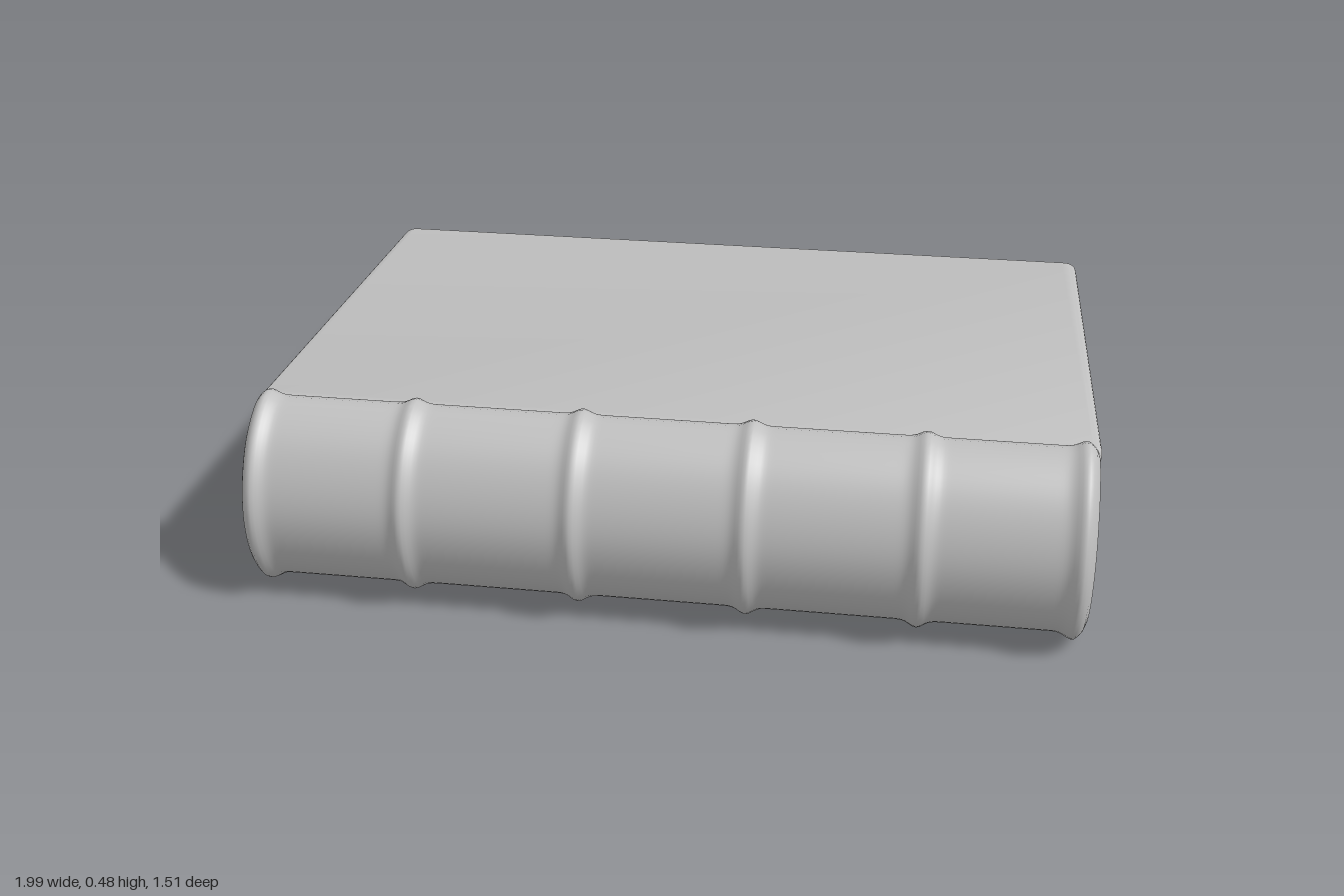
import * as THREE from 'three';
import { toCreasedNormals } from 'three/addons/utils/BufferGeometryUtils.js';

const grey = new THREE.MeshStandardMaterial({ color: 0xc0c0c0 });
grey.name = 'plain grey';

function add(parent, name, geometry) {
  const mesh = new THREE.Mesh(geometry, grey);
  mesh.name = name;
  parent.add(mesh);
  return mesh;
}

// Board with rounded corners and softly rolled edges; its base lies on y = 0
function boardGeometry(halfWidth, zFront, zBack, thickness) {
  const r = 0.04, w = halfWidth, a = -zFront, b = -zBack;
  const s = new THREE.Shape();
  s.moveTo(-w + r, a);
  s.lineTo(w - r, a);
  s.quadraticCurveTo(w, a, w, a + r);
  s.lineTo(w, b - r);
  s.quadraticCurveTo(w, b, w - r, b);
  s.lineTo(-w + r, b);
  s.quadraticCurveTo(-w, b, -w, b - r);
  s.lineTo(-w, a + r);
  s.quadraticCurveTo(-w, a, -w + r, a);
  const bevel = 0.022;
  const g = new THREE.ExtrudeGeometry(s, {
    depth: thickness - 2 * bevel, bevelThickness: bevel, bevelSize: bevel,
    bevelOffset: -bevel, bevelSegments: 5, curveSegments: 6,
  });
  g.translate(0, 0, bevel);
  g.rotateX(-Math.PI / 2);
  return toCreasedNormals(g, 0.7);
}

// Page block: rounded towards the spine, hollow at the fore edge
function pagesGeometry() {
  const half = 0.965;
  const s = new THREE.Shape();
  s.moveTo(-0.708, 0.05);
  s.lineTo(0.58, 0.05);
  s.quadraticCurveTo(0.71, 0.23, 0.58, 0.41);
  s.lineTo(-0.708, 0.35);
  s.quadraticCurveTo(-0.67, 0.2, -0.708, 0.05);
  const g = new THREE.ExtrudeGeometry(s, { depth: 2 * half, bevelEnabled: false, curveSegments: 16 });
  g.rotateY(-Math.PI / 2);
  g.translate(half, 0, 0);
  return toCreasedNormals(g, 0.6);
}

// Curved spine swept along x, swelling at the raised bands and at both ends
function spineGeometry() {
  const half = 0.987, steps = 240, n = 36;
  const path = new THREE.CatmullRomCurve3([
    [0.52, 0.44], [0.57, 0.444], [0.645, 0.4], [0.7, 0.315], [0.72, 0.223],
    [0.7, 0.125], [0.65, 0.06], [0.585, 0.04], [0.5, 0.042],
  ].map(([z, y]) => new THREE.Vector3(0, y, z)));
  const points = path.getSpacedPoints(n);
  const normals = points.map((p, i) => {
    const t = path.getTangentAt(i / n);
    return new THREE.Vector3(0, t.z, -t.y).normalize();
  });
  const bands = [-0.957, -0.6, -0.2, 0.2, 0.6, 0.957];
  const round = (d, r) => Math.sqrt(Math.max(0, 1 - (1 - Math.min(1, d / r)) ** 2));
  const positions = [], index = [], ring = 2 * (n + 1);
  for (let i = 0; i <= steps; i++) {
    const x = -half + (2 * half * i) / steps;
    const bump = bands.reduce((sum, b) => sum + 0.016 * Math.exp(-(((x - b) / 0.022) ** 2)), 0);
    const end = round(half - Math.abs(x), 0.028);
    for (let j = 0; j < ring; j++) {
      const outer = j <= n, k = outer ? j : ring - 1 - j;
      const lip = 0.3 + 0.7 * round(Math.min(k, n - k), 3);
      const offset = (outer ? 0.022 + bump : -0.022) * end * lip;
      const p = points[k].clone().addScaledVector(normals[k], offset);
      positions.push(x, p.y, p.z);
    }
  }
  for (let i = 0; i < steps; i++) {
    for (let j = 0; j < ring; j++) {
      const a = i * ring + j, c = i * ring + ((j + 1) % ring);
      index.push(a, c, a + ring, c, c + ring, a + ring);
    }
  }
  const g = new THREE.BufferGeometry();
  g.setAttribute('position', new THREE.Float32BufferAttribute(positions, 3));
  g.setIndex(index);
  g.computeVertexNormals();
  return g;
}

export function createModel() {
  const book = new THREE.Group();
  book.name = 'book';

  // Lower board lies flat, upper board slopes down to the fore edge
  const lower = add(book, 'lowerCover', boardGeometry(0.99, 0.56, -0.755, 0.055));
  lower.position.y = 0.016;
  const upper = add(book, 'upperCover', boardGeometry(0.995, 0.55, -0.735, 0.053));
  upper.position.y = 0.374;
  upper.rotation.x = -0.054;

  add(book, 'pages', pagesGeometry());
  add(book, 'spine', spineGeometry());
  return book;
}
